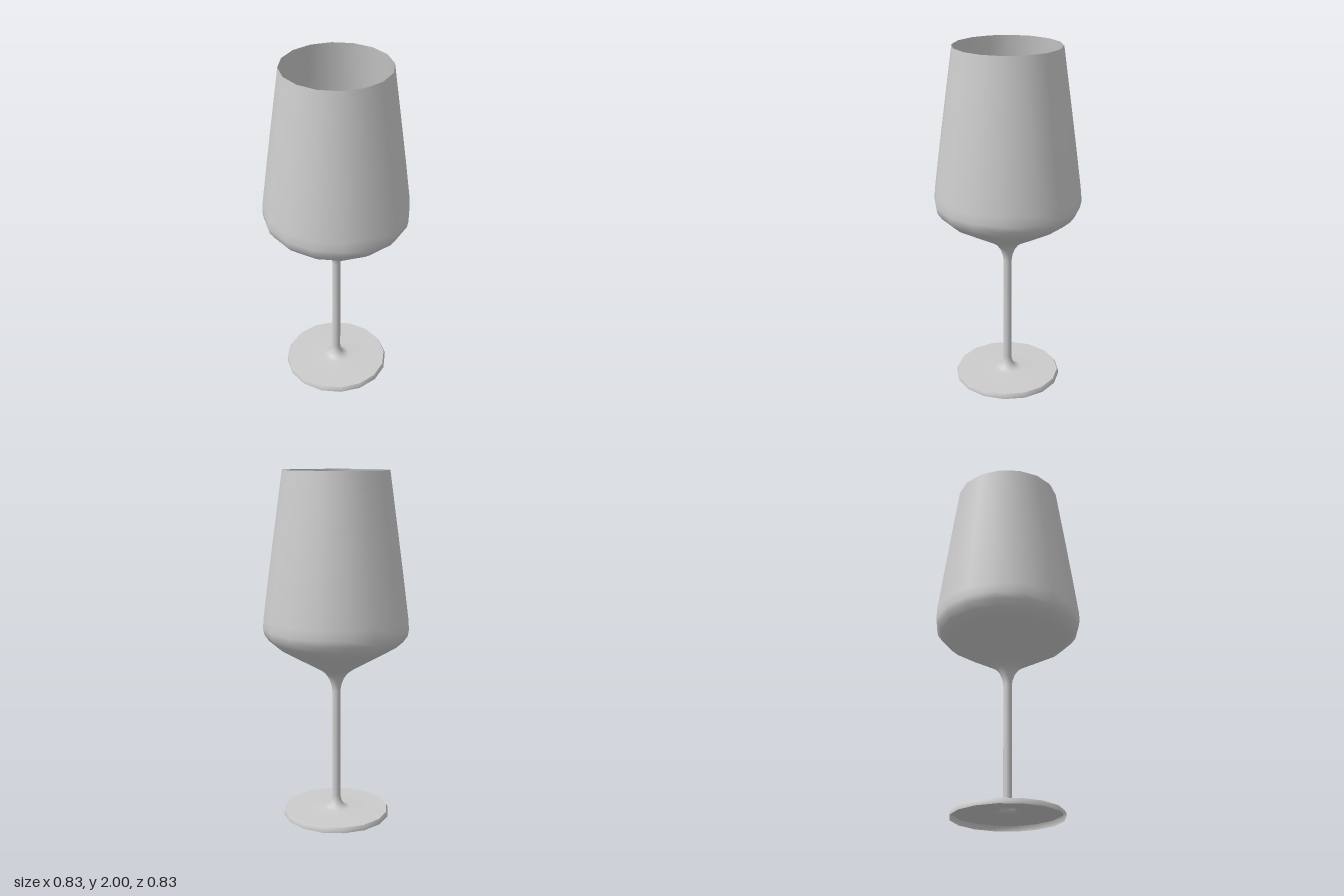
import * as THREE from 'three';

const SIDES = 16;

// Thin single-walled surface of revolution from [radius, height] pairs
function turned(name, profile, material) {
  const points = profile.map(([r, y]) => new THREE.Vector2(r, y));
  const mesh = new THREE.Mesh(new THREE.LatheGeometry(points, SIDES), material);
  mesh.name = name;
  return mesh;
}

export function createModel() {
  const group = new THREE.Group();
  group.name = 'wineGlass';
  const glass = new THREE.MeshStandardMaterial({ color: 0xcccccc, side: THREE.DoubleSide });

  // Upright edge of the hollow foot
  group.add(turned('footRim', [[0.31, 0], [0.31, 0.015], [0.302, 0.03]], glass));

  // Foot top, flaring up into the hollow stem and on into the bowl
  group.add(turned('footStemAndBowl', [
    [0.302, 0.03], [0.2, 0.031], [0.08, 0.033],
    [0.052, 0.042], [0.036, 0.062], [0.027, 0.085], [0.024, 0.11],
    [0.024, 0.43], [0.024, 0.75],
    [0.029, 0.785], [0.043, 0.822], [0.065, 0.853], [0.1, 0.88],
    [0.22, 0.948], [0.345, 1.02],
    [0.385, 1.055], [0.41, 1.09], [0.417, 1.125], [0.414, 1.18],
    [0.378, 1.45], [0.34, 1.72], [0.3, 2],
  ], glass));

  return group;
}
